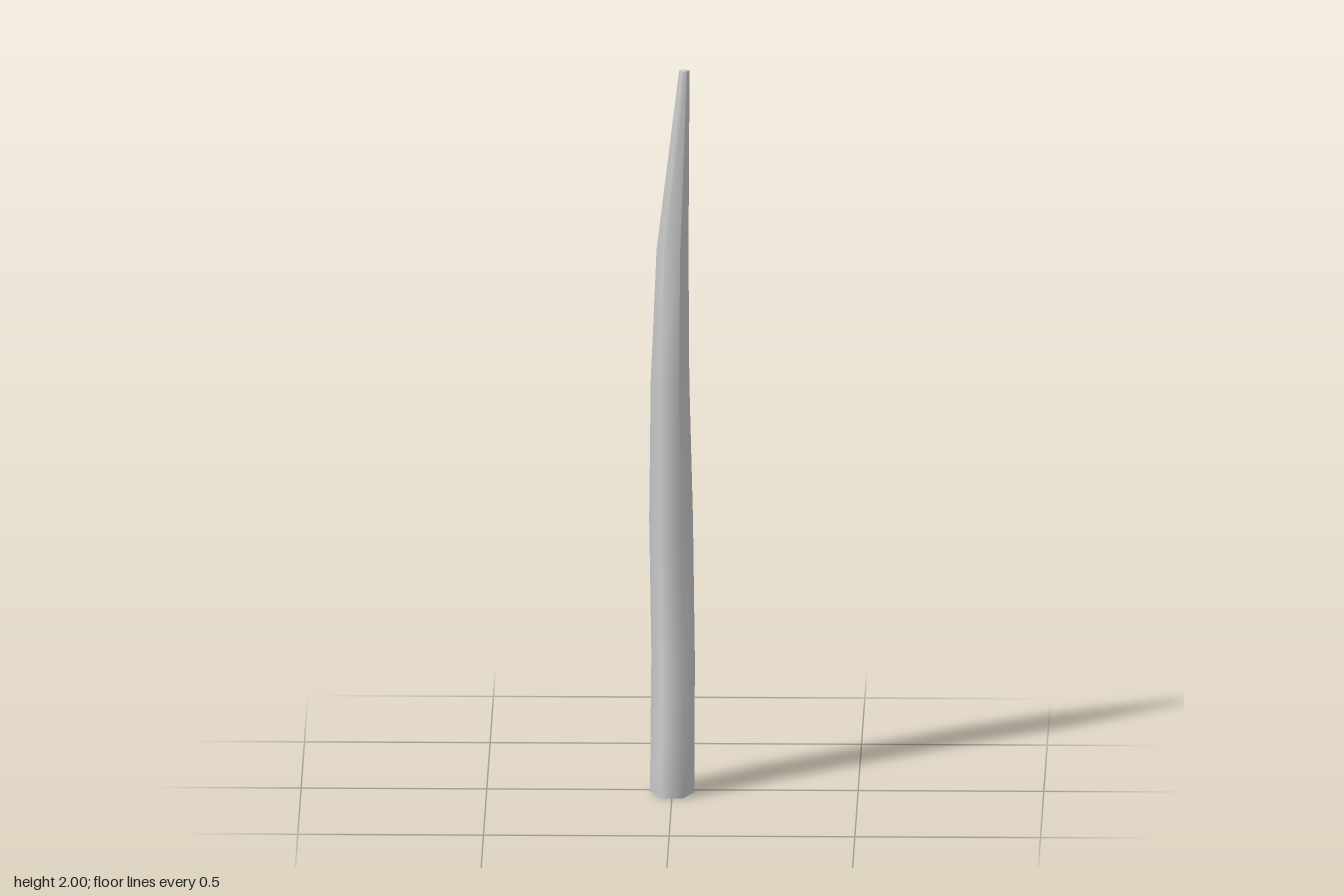
import * as THREE from 'three';
import { toCreasedNormals } from 'three/addons/utils/BufferGeometryUtils.js';

// Cross-sections of the stake: [y, xMin, xMax, zMin, zMax]
const RINGS = [
  [0, -0.06, 0.06, -0.048, 0.095],
  [0.17, -0.059, 0.06, -0.055, 0.089],
  [0.37, -0.057, 0.06, -0.081, 0.062],
  [0.75, -0.063, 0.055, -0.086, 0.058],
  [1.13, -0.059, 0.045, -0.094, 0.051],
  [1.5, -0.043, 0.043, -0.079, 0.066],
  [2, 0.018, 0.046, -0.01, 0.01],
];

export function createModel() {
  const group = new THREE.Group();
  group.name = 'woodenStake';

  // Six-sided column, bent and sharpened ring by ring
  const steps = RINGS.length - 1;
  const geometry = new THREE.CylinderGeometry(1, 1, steps, 6, steps, false, Math.PI / 6);
  const pos = geometry.attributes.position;
  const halfDepth = Math.sin(Math.PI / 3);
  for (let i = 0; i < pos.count; i++) {
    const [y, x0, x1, z0, z1] = RINGS[Math.round(pos.getY(i) + steps / 2)];
    pos.setXYZ(
      i,
      (x0 + x1) / 2 + (pos.getX(i) * (x1 - x0)) / 2,
      y,
      (z0 + z1) / 2 + ((pos.getZ(i) / halfDepth) * (z1 - z0)) / 2,
    );
  }

  // Smooth sides, sharp end caps
  const shaft = new THREE.Mesh(
    toCreasedNormals(geometry, 1.25),
    new THREE.MeshStandardMaterial({ color: 0xcccccc }),
  );
  shaft.name = 'stakeShaft';
  group.add(shaft);
  return group;
}
